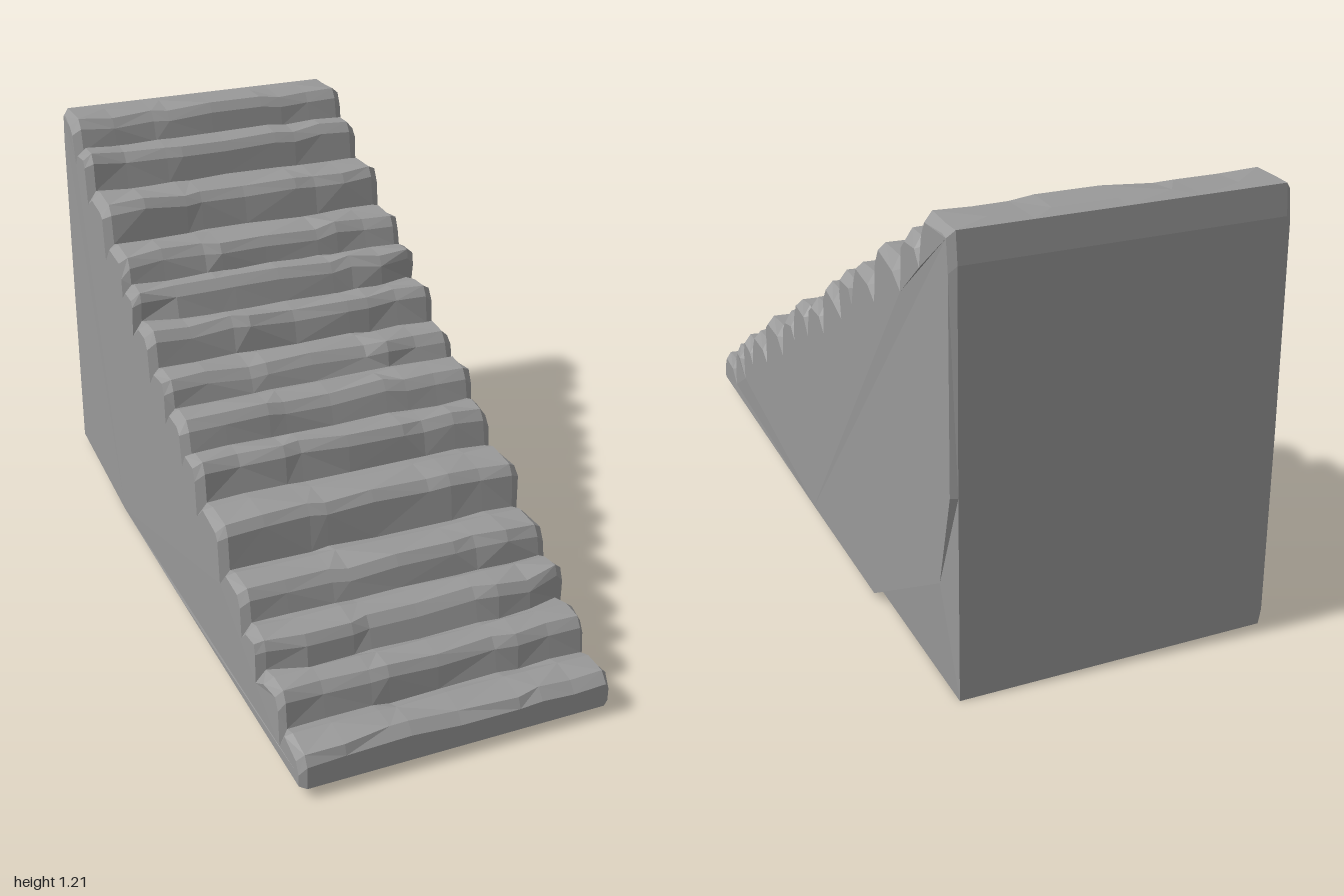
import * as THREE from 'three';

// [front z, top y] of each step, bottom to top
const STEPS = [
  [1.0, 0.135], [0.855, 0.22], [0.74, 0.295], [0.61, 0.365], [0.45, 0.475],
  [0.275, 0.565], [0.155, 0.64], [0.02, 0.70], [-0.12, 0.785], [-0.24, 0.86],
  [-0.36, 0.93], [-0.525, 1.035], [-0.70, 1.13], [-0.82, 1.205],
];
const BACK = -0.985;
// Positions across the width where the worn edges bend
const STATIONS = [-0.425, -0.32, -0.19, -0.14, 0, 0.17, 0.235, 0.33, 0.425];

function seeded(seed) {
  return () => {
    seed = (seed * 16807) % 2147483647;
    return seed / 2147483647 - 0.5;
  };
}

// Closed [z, y] outline at one station: up the steps, down the back, along the base
function outline(x, rand) {
  const ring = [];
  const end = Math.abs(x) > 0.4;
  STEPS.forEach(([z, y], i) => {
    const below = i ? STEPS[i - 1][1] - 0.018 : 0.03;
    const rear = i < STEPS.length - 1 ? STEPS[i + 1][0] : BACK;
    const dy = rand() * 0.016, dz = rand() * 0.02;
    // Chipped ends under the edges of a few steps
    const chip = end && i % 7 === 2 ? 0.03 : 0;
    ring.push(
      [i ? z + 0.012 - chip : 1, below + (i ? rand() * 0.01 : 0)],
      [i ? z + dz * 0.6 - chip * 0.4 : 1, y - 0.032 + dy],
      [z - 0.02 + dz, y - 0.004 + dy],
      [THREE.MathUtils.lerp(z, rear, 0.65), y - 0.003 + rand() * 0.008],
    );
  });
  ring.push([-0.975, 1.2], [BACK, 1.12], [-0.99, 0.55], [-1, 0], [-0.48, 0.008], [0.02, 0.018]);
  return ring;
}

// Side outline, worn inwards around the steps and at the lower back corner
function sideOutline(ring, side, rand) {
  const n = STEPS.length * 4;
  return ring.map(([z, y], k) => {
    if (k === 0) return [z - 0.012, y + 0.005];
    if (k < n) return [z - 0.012 + rand() * 0.008, y - (k % 4 === 0 ? 0.045 : 0.022) + rand() * 0.022];
    if (k < n + 2) return [z + 0.012, y - 0.02];
    if (k === n + 2) return [z + 0.008, y];
    if (k === n + 3) return side > 0 ? [-0.92, 0.29] : [-0.985, 0.03];
    return [z, y + 0.002];
  });
}

function staircaseGeometry() {
  const rand = seeded(4711);
  const rings = STATIONS.map((x) => outline(x, rand).map(([z, y]) => [x, y, z]));
  const caps = [-1, 1].map((side) => {
    const ring = rings[side < 0 ? 0 : rings.length - 1].map(([, y, z]) => [z, y]);
    return sideOutline(ring, side, rand).map(([z, y]) => [side * (z > 0.8 || z < -0.9 ? 0.443 : 0.45), y, z]);
  });
  const loops = [caps[0], ...rings, caps[1]];
  const pos = [];
  const tri = (a, b, c) => pos.push(...a, ...b, ...c);

  // Skin between neighbouring outlines
  for (let s = 0; s < loops.length - 1; s++) {
    const p = loops[s], q = loops[s + 1], n = p.length;
    for (let k = 0; k < n; k++) {
      const m = (k + 1) % n;
      if ((k + s) % 2) {
        tri(p[k], q[k], q[m]);
        tri(p[k], q[m], p[m]);
      } else {
        tri(p[k], q[k], p[m]);
        tri(q[k], q[m], p[m]);
      }
    }
  }

  // Side walls
  caps.forEach((ring, i) => {
    const contour = ring.map(([, y, z]) => new THREE.Vector2(z, y));
    for (const [a, b, c] of THREE.ShapeUtils.triangulateShape(contour, [])) {
      if (i === 0) tri(ring[a], ring[b], ring[c]);
      else tri(ring[a], ring[c], ring[b]);
    }
  });

  const geometry = new THREE.BufferGeometry();
  geometry.setAttribute('position', new THREE.Float32BufferAttribute(pos, 3));
  geometry.computeVertexNormals();
  return geometry;
}

export function createModel() {
  const stone = new THREE.MeshStandardMaterial({ color: 0x999999, flatShading: true });
  stone.name = 'grey stone';
  const stairs = new THREE.Mesh(staircaseGeometry(), stone);
  stairs.name = 'stoneStaircase';
  const group = new THREE.Group();
  group.name = 'staircase';
  group.add(stairs);
  return group;
}
